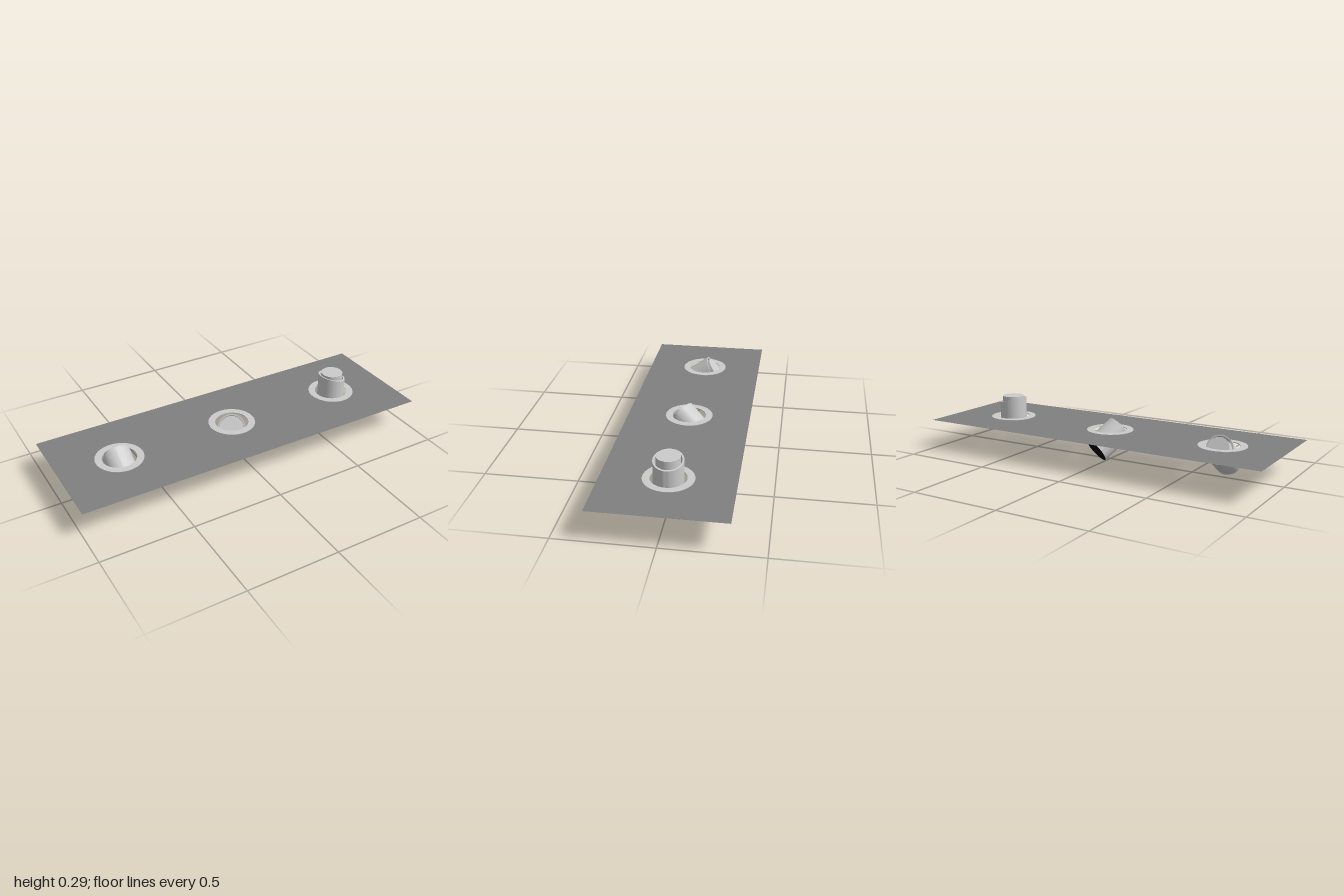
import * as THREE from 'three';
import { toCreasedNormals } from 'three/addons/utils/BufferGeometryUtils.js';

const PANEL_Y = 0.167;
const RADIUS = 0.076;  // lamp tube
const PIVOT = 0.109;   // distance from the lamp mouth to its pivot
const SPOTS = [
  { x: -0.667, y: 0.126, tilt: 55, yaw: 90 },
  { x: 0, y: 0.126, tilt: 55, yaw: -120 },
  { x: 0.667, y: 0.214, tilt: 0, yaw: 0 },
];

const grey = new THREE.MeshStandardMaterial({ color: 0xcccccc });
const panelGrey = new THREE.MeshStandardMaterial({ color: 0x808080, side: THREE.DoubleSide });
const black = new THREE.MeshStandardMaterial({ color: 0x000000 });

function add(parent, name, geometry, material) {
  const mesh = new THREE.Mesh(geometry, material);
  mesh.name = name;
  parent.add(mesh);
  return mesh;
}

function lathe(points) {
  return new THREE.LatheGeometry(points.map(([r, y]) => new THREE.Vector2(r, y)), 64);
}

function circle(PathType, x, z, r) {
  return new PathType().absarc(x, z, r, 0, Math.PI * 2);
}

// Tube whose upper rim is cut on a slant, high on the -x side
function tubeGeometry() {
  const rimY = 0.1615;
  const g = lathe([[RADIUS, 0], [RADIUS, rimY], [0.067, rimY], [0.067, 0.12], [0, 0.12]]);
  const p = g.attributes.position;
  for (let i = 0; i < p.count; i++) {
    if (p.getY(i) > 0.15) p.setY(i, rimY - 0.24 * p.getX(i));
  }
  return toCreasedNormals(g, 0.6);
}

function createLamp({ x, y, tilt, yaw }) {
  const lamp = new THREE.Group();
  lamp.name = 'lamp';
  lamp.position.set(x, y, 0);
  lamp.rotation.set(0, THREE.MathUtils.degToRad(yaw), THREE.MathUtils.degToRad(-tilt));

  const tube = add(lamp, 'tube', tubeGeometry(), grey);

  // Raised cap inside the slanted rim
  const cap = add(lamp, 'cap', new THREE.CylinderGeometry(0.06, 0.06, 0.065, 64), grey);

  // Slightly recessed dark mouth
  const mouth = add(lamp, 'mouth',
    toCreasedNormals(lathe([[0, 0.015], [0.062, 0.015], [0.07, 0], [RADIUS, 0]]), 0.6), black);

  tube.position.y = mouth.position.y = -PIVOT;
  cap.position.y = 0.1525 - PIVOT;
  return lamp;
}

export function createModel() {
  const model = new THREE.Group();
  model.name = 'spotlightPanel';

  // Thin ceiling panel with a round hole for each lamp
  const sheet = new THREE.Shape([
    new THREE.Vector2(-1, -0.333), new THREE.Vector2(1, -0.333),
    new THREE.Vector2(1, 0.333), new THREE.Vector2(-1, 0.333),
  ]);
  for (const { x } of SPOTS) sheet.holes.push(circle(THREE.Path, x, 0, 0.127));
  const panel = add(model, 'panel', new THREE.ShapeGeometry(sheet, 48), panelGrey);
  panel.rotation.x = -Math.PI / 2;
  panel.position.y = PANEL_Y;

  // Flat trim ring around each hole
  const ringShape = circle(THREE.Shape, 0, 0, 0.128);
  ringShape.holes.push(circle(THREE.Path, 0, 0, 0.091));
  const ringGeometry = new THREE.ExtrudeGeometry(ringShape, {
    depth: 0.004, bevelEnabled: false, curveSegments: 48,
  });

  for (const spot of SPOTS) {
    const ring = add(model, 'trimRing', ringGeometry, grey);
    ring.rotation.x = -Math.PI / 2;
    ring.position.set(spot.x, PANEL_Y - 0.002, 0);
    model.add(createLamp(spot));
  }
  return model;
}
